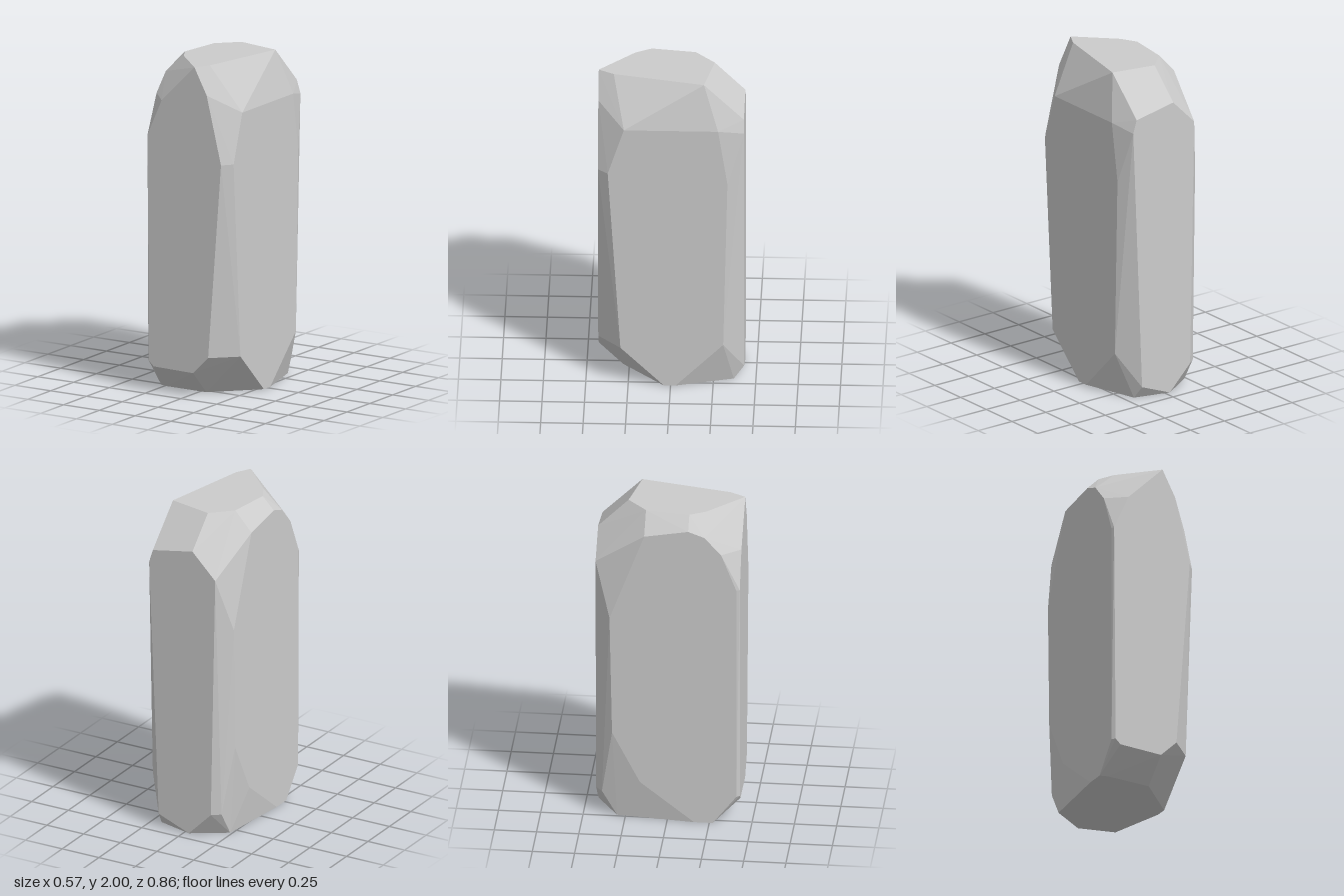
import * as THREE from 'three';
import { ConvexGeometry } from 'three/addons/geometries/ConvexGeometry.js';

// Half width and half depth of the block the stone is cut from
const W = 0.285, D = 0.43, H = 2;

// Each flat side of the stone is an outline lying on one side of the block
const front = [[0.05, 2], [-0.18, 1.77], [-0.278, 1.55], [-0.268, 0.18], [-0.235, 0.15],
  [0.04, 0.145], [0.145, 0.25], [0.235, 1.43], [0.135, 1.84]]; // x, y
const back = [[0.24, 1.69], [0.215, 1.77], [-0.055, 1.82], [-0.21, 1.665],
  [-0.18, 0.15], [-0.03, 0], [0.175, 0.08]]; // x, y
const leftSide = [[1.725, 0.275], [1.725, -0.28], [1.37, -0.335], [0.28, -0.31],
  [0, -0.03], [0, 0.04], [0.25, 0.295], [1.43, 0.37]]; // y, z
const rightSide = [[1.88, -0.135], [1.925, 0.125], [1.89, 0.22], [1.78, 0.32], [1.55, 0.41],
  [0.18, 0.41], [0, 0.27], [0, 0.16], [0.25, -0.16], [0.57, -0.325], [1.33, -0.34]]; // y, z
const top = [[-0.055, -0.25], [0.215, -0.195], [0.1, 0.34], [0.05, 0.43],
  [-0.16, 0.22], [-0.21, 0.125], [-0.175, -0.135]]; // x, z
const bottom = [[0.04, 0.285], [-0.235, 0.285], [-0.236, -0.3], [0.19, -0.37]]; // x, z

export function createModel() {
  const v = (x, y, z) => new THREE.Vector3(x, y, z);
  const points = [
    ...front.map(([x, y]) => v(x, y, D)),
    ...back.map(([x, y]) => v(x, y, -D)),
    ...leftSide.map(([y, z]) => v(W, y, z)),
    ...rightSide.map(([y, z]) => v(-W, y, z)),
    ...top.map(([x, z]) => v(x, H, z)),
    ...bottom.map(([x, z]) => v(x, 0, z)),
    v(-0.23, 0.15, -0.39), // small chipped corner low at the back
  ];

  // Chamfers and chipped corners span the gaps between the flat sides
  const stone = new THREE.Mesh(
    new ConvexGeometry(points),
    new THREE.MeshStandardMaterial({ color: 0xcccccc, flatShading: true })
  );
  stone.name = 'standingStone';

  const group = new THREE.Group();
  group.name = 'rock';
  group.add(stone);
  return group;
}
